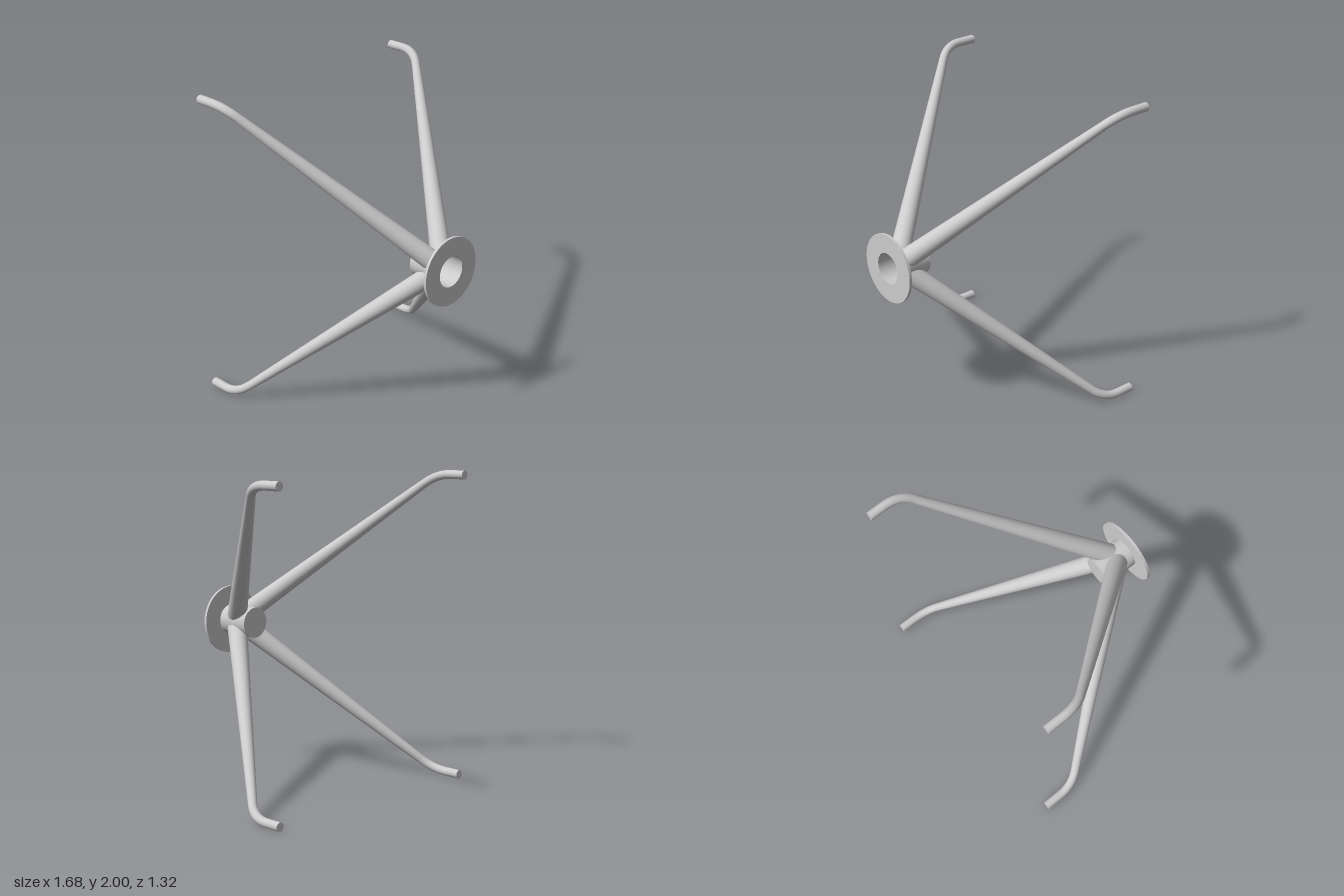
import * as THREE from 'three';

const material = new THREE.MeshStandardMaterial({ color: 0xcccccc, side: THREE.DoubleSide });
const HUB_R = 0.1, HUB_BACK = 0.41, FRONT = 0.66, BACK = -0.66;
const TIP = new THREE.Vector2(0.812, 0.972); // arm tip offset from the hub axis
const SIDES = 32;

function part(name, geometry, z = 0) {
  const mesh = new THREE.Mesh(geometry, material);
  mesh.name = name;
  mesh.position.z = z;
  return mesh;
}

// Tapered arm in the x-z plane: leaves the hub wall, bends, ends parallel to z
function armGeometry() {
  const reach = TIP.length(), rootR = 0.067, tipR = 0.028, bend = 0.11;
  const start = new THREE.Vector2(0, 0.59), corner = new THREE.Vector2(reach, -0.44);
  const dir = corner.clone().sub(start).normalize();
  const bendStart = corner.clone().addScaledVector(dir, -bend);
  const bendEnd = new THREE.Vector2(reach, corner.y - bend);
  const arc = new THREE.QuadraticBezierCurve(bendStart, corner, bendEnd);

  const point = (p, t, r, a) => new THREE.Vector3(
    p.x + r * Math.cos(a) * t.y, r * Math.sin(a), p.y - r * Math.cos(a) * t.x);
  const onStraight = (s, a) => point(
    start.clone().lerp(bendStart, s), dir, THREE.MathUtils.lerp(rootR, tipR, s), a);

  // Root ring: slide each line of the taper until it meets the hub wall
  const rootPoint = (a) => {
    let lo = 0, hi = 0.4;
    for (let k = 0; k < 30; k++) {
      const mid = (lo + hi) / 2, v = onStraight(mid, a);
      if (Math.hypot(v.x, v.y) < HUB_R) lo = mid; else hi = mid;
    }
    return onStraight(hi, a);
  };

  const rings = [rootPoint];
  for (const s of [0.3, 0.5, 0.75]) rings.push((a) => onStraight(s, a));
  for (let k = 0; k <= 12; k++) {
    const p = arc.getPoint(k / 12), t = arc.getTangent(k / 12);
    rings.push((a) => point(p, t, tipR, a));
  }
  rings.push((a) => point(new THREE.Vector2(reach, BACK), new THREE.Vector2(0, -1), tipR, a));

  const positions = [], index = [];
  rings.forEach((ring, i) => {
    for (let j = 0; j < SIDES; j++) {
      positions.push(...ring((j / SIDES) * Math.PI * 2).toArray());
      if (i === rings.length - 1) continue;
      const a = i * SIDES + j, b = i * SIDES + (j + 1) % SIDES;
      index.push(a, b, a + SIDES, b, b + SIDES, a + SIDES);
    }
  });
  const geometry = new THREE.BufferGeometry();
  geometry.setAttribute('position', new THREE.Float32BufferAttribute(positions, 3));
  geometry.setIndex(index);
  geometry.computeVertexNormals();
  return { geometry, cap: new THREE.CircleGeometry(tipR, SIDES).rotateY(Math.PI).translate(reach, 0, BACK) };
}

export function createModel() {
  const model = new THREE.Group();
  model.name = 'fourArmBracket';
  const body = new THREE.Group();
  body.name = 'bracket';
  body.position.y = 1;
  model.add(body);

  // Hub: a cup open to the front
  const depth = FRONT - 0.005 - HUB_BACK;
  body.add(part('hubWall',
    new THREE.CylinderGeometry(HUB_R, HUB_R, depth, 64, 1, true).rotateX(Math.PI / 2), HUB_BACK + depth / 2));
  body.add(part('hubBack', new THREE.CircleGeometry(HUB_R, 64).rotateY(Math.PI), HUB_BACK));

  // Flange: thin ring around the mouth of the hub
  const ring = new THREE.Shape().absarc(0, 0, 0.222, 0, Math.PI * 2, false);
  ring.holes.push(new THREE.Path().absarc(0, 0, HUB_R, 0, Math.PI * 2, true));
  body.add(part('flange',
    new THREE.ExtrudeGeometry(ring, { depth: 0.018, bevelEnabled: false, curveSegments: 48 }), FRONT - 0.018));

  // Four arms, mirrored left to right and top to bottom
  const { geometry, cap } = armGeometry();
  const angle = TIP.angle();
  const arms = {
    upperLeftArm: angle, upperRightArm: Math.PI - angle,
    lowerRightArm: Math.PI + angle, lowerLeftArm: -angle,
  };
  for (const [name, turn] of Object.entries(arms)) {
    const arm = new THREE.Group();
    arm.name = name;
    arm.rotation.z = turn;
    arm.add(part('armTube', geometry), part('armEnd', cap));
    body.add(arm);
  }
  return model;
}
